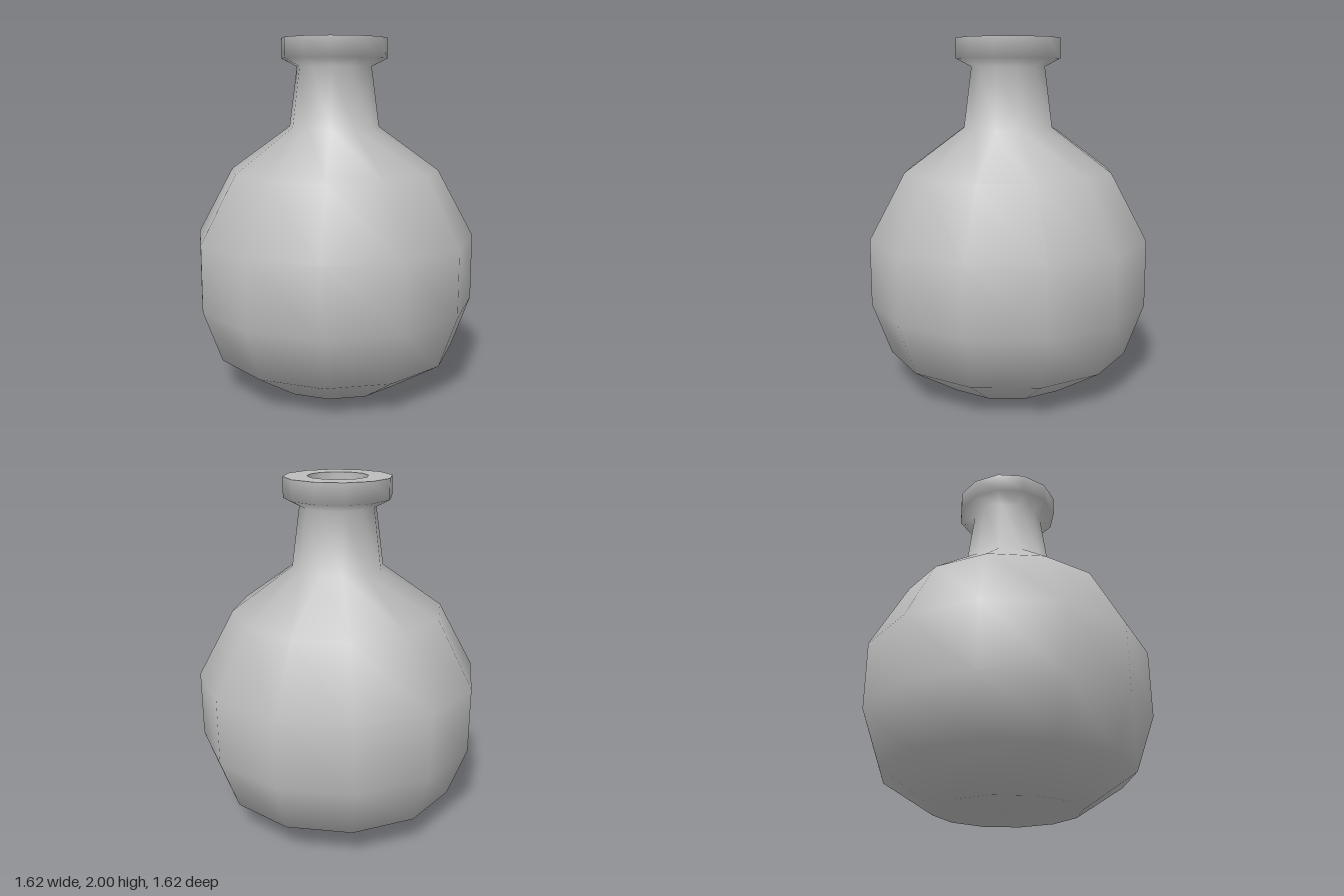
import * as THREE from 'three';

const SIDES = 12;

export function createModel() {
  const group = new THREE.Group();
  group.name = 'flask';

  const stone = new THREE.MeshStandardMaterial({ color: 0xbcbcbc });
  stone.name = 'light grey';

  // Each part is a twelve-sided turned surface from [radius, height] points
  const turn = (name, profile) => {
    const points = profile.map(([r, y]) => new THREE.Vector2(r, y));
    const mesh = new THREE.Mesh(new THREE.LatheGeometry(points, SIDES), stone);
    mesh.name = name;
    group.add(mesh);
  };

  // Round belly, tapering neck and outside of the lip in one smooth skin
  turn('body', [
    [0, 0], [0.41, 0], [0.705, 0.19], [0.812, 0.49], [0.812, 0.87],
    [0.605, 1.25], [0.26, 1.5], [0.215, 1.84], [0.303, 1.885], [0.303, 2],
  ]);

  // Flat top of the lip
  turn('rim', [[0.303, 2], [0.17, 2]]);

  // Inside of the neck, closed at the bottom
  turn('neckInside', [[0.17, 2], [0.165, 1.75], [0.16, 1.5], [0, 1.5]]);

  return group;
}
